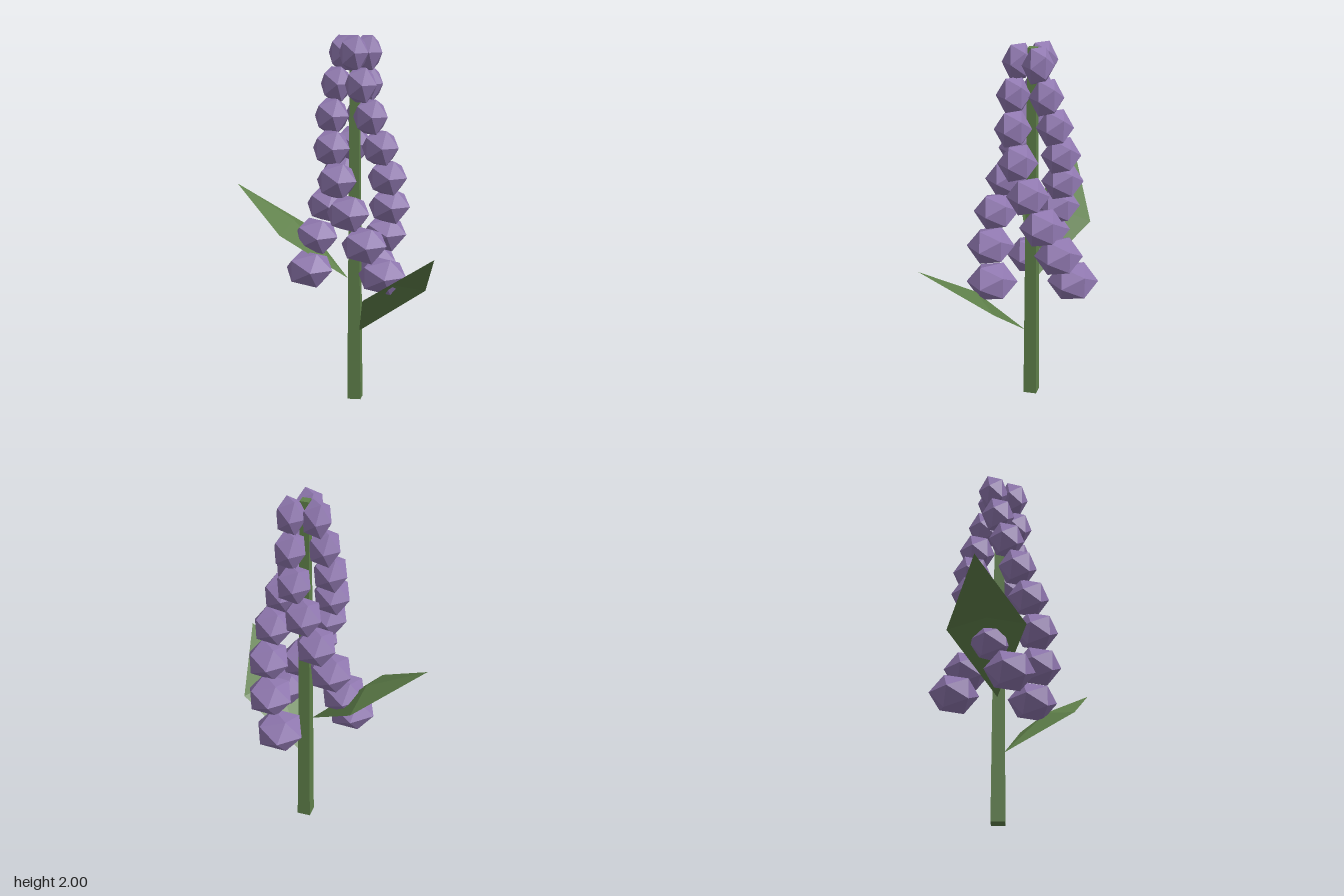
import * as THREE from 'three';

export function createModel() {
  const model = new THREE.Group();
  model.name = 'flowerSpike';

  const green = new THREE.MeshStandardMaterial({ color: 0x5f804a, flatShading: true, side: THREE.DoubleSide });
  green.name = 'leaf green';
  const purple = new THREE.MeshStandardMaterial({ color: 0x9078b0, flatShading: true });
  purple.name = 'blossom purple';

  // Everything grows around the stem axis
  const plant = new THREE.Group();
  plant.name = 'plant';
  plant.position.set(-0.07, 0, -0.04);
  model.add(plant);

  // Four-sided tapering stem
  const stemHeight = 1.985;
  const stem = new THREE.Mesh(new THREE.CylinderGeometry(0.033, 0.052, stemHeight, 4), green);
  stem.name = 'stem';
  stem.position.y = stemHeight / 2;
  plant.add(stem);

  // Spiralling whorls of three blossoms, narrowing towards the top
  const blossomGeometry = new THREE.IcosahedronGeometry(1, 0);
  const tiers = 8;
  for (let i = 0; i < tiers; i++) {
    const whorl = new THREE.Group();
    whorl.name = `whorl${i + 1}`;
    whorl.position.y = 0.735 + i * 0.1675;
    const ring = 0.25 - i * 0.0248;
    const size = 0.137 - i * 0.0075;
    for (let j = 0; j < 3; j++) {
      const angle = i * 0.4 + (j * Math.PI * 2) / 3;
      const blossom = new THREE.Mesh(blossomGeometry, purple);
      blossom.name = 'blossom';
      blossom.position.set(Math.cos(angle) * ring, 0, Math.sin(angle) * ring);
      blossom.scale.set(size, 0.109, size);
      whorl.add(blossom);
    }
    plant.add(whorl);
  }

  // Diamond leaf with a raised centre: base, two sides, tip, centre
  const base = [0.04, 0.39, 0];
  const back = [0.36, 0.645, -0.208];
  const front = [0.36, 0.645, 0.208];
  const tip = [0.69, 0.89, 0];
  const centre = [0.355, 0.7, 0];
  const leafGeometry = new THREE.BufferGeometry();
  leafGeometry.setAttribute('position', new THREE.Float32BufferAttribute([
    base, centre, back,
    base, front, centre,
    centre, tip, back,
    centre, front, tip,
  ].flat(), 3));
  leafGeometry.computeVertexNormals();

  // Two leaves at different heights and directions
  [[0, 0], [2.5, 0.285]].forEach(([angle, lift], i) => {
    const leaf = new THREE.Mesh(leafGeometry, green);
    leaf.name = i === 0 ? 'lowerLeaf' : 'upperLeaf';
    leaf.rotation.y = -angle;
    leaf.position.y = lift;
    plant.add(leaf);
  });

  return model;
}
